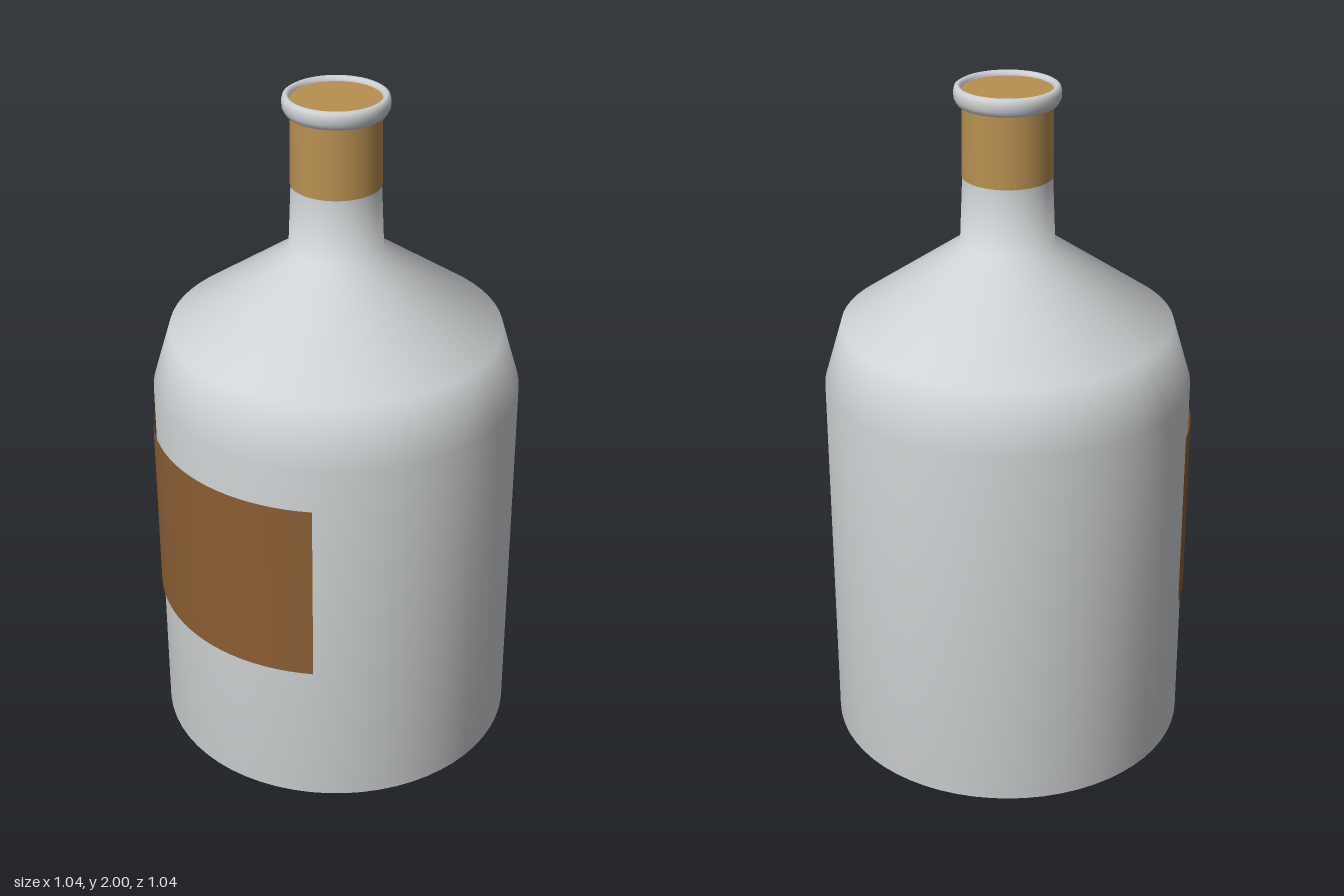
import * as THREE from 'three';

const SEGMENTS = 64;

function material(name, color, side = THREE.FrontSide) {
  const m = new THREE.MeshStandardMaterial({ color, side });
  m.name = name;
  return m;
}

function part(name, geometry, mat) {
  const mesh = new THREE.Mesh(geometry, mat);
  mesh.name = name;
  return mesh;
}

// Lathe from [radius, height] pairs running bottom to top
function turned(points) {
  return new THREE.LatheGeometry(points.map(([r, y]) => new THREE.Vector2(r, y)), SEGMENTS);
}

export function createModel() {
  const glass = material('pale grey glass', 0xd0d3d5);
  const cork = material('cork tan', 0xb8904f);
  const paper = material('label brown', 0x8b5e34, THREE.DoubleSide);
  const group = new THREE.Group();
  group.name = 'bottle';

  // Body with bevelled foot, sloping shoulder and neck
  group.add(part('body', turned([
    [0, 0], [0.41, 0], [0.518, 0.05], [0.518, 1.15],
    [0.466, 1.325], [0.131, 1.56], [0.123, 1.75], [0.118, 1.95],
  ]), glass));

  // Rounded lip around the mouth
  group.add(part('lip', turned([
    [0.12, 1.945], [0.136, 1.95], [0.144, 1.965], [0.145, 1.982],
    [0.142, 1.995], [0.134, 2], [0.126, 1.997], [0.122, 1.985], [0.122, 1.96],
  ]), glass));

  // Stopper fills the mouth and shows as a band round the neck
  const stopper = part('stopper', new THREE.CylinderGeometry(0.123, 0.125, 0.24, SEGMENTS), cork);
  stopper.position.y = 1.867;
  group.add(stopper);

  // Curved label wrapped around the front
  const halfAngle = 0.81;
  const label = part('label', new THREE.CylinderGeometry(
    0.525, 0.525, 0.54, 24, 1, true, -halfAngle, halfAngle * 2), paper);
  label.position.y = 0.76;
  group.add(label);

  return group;
}
